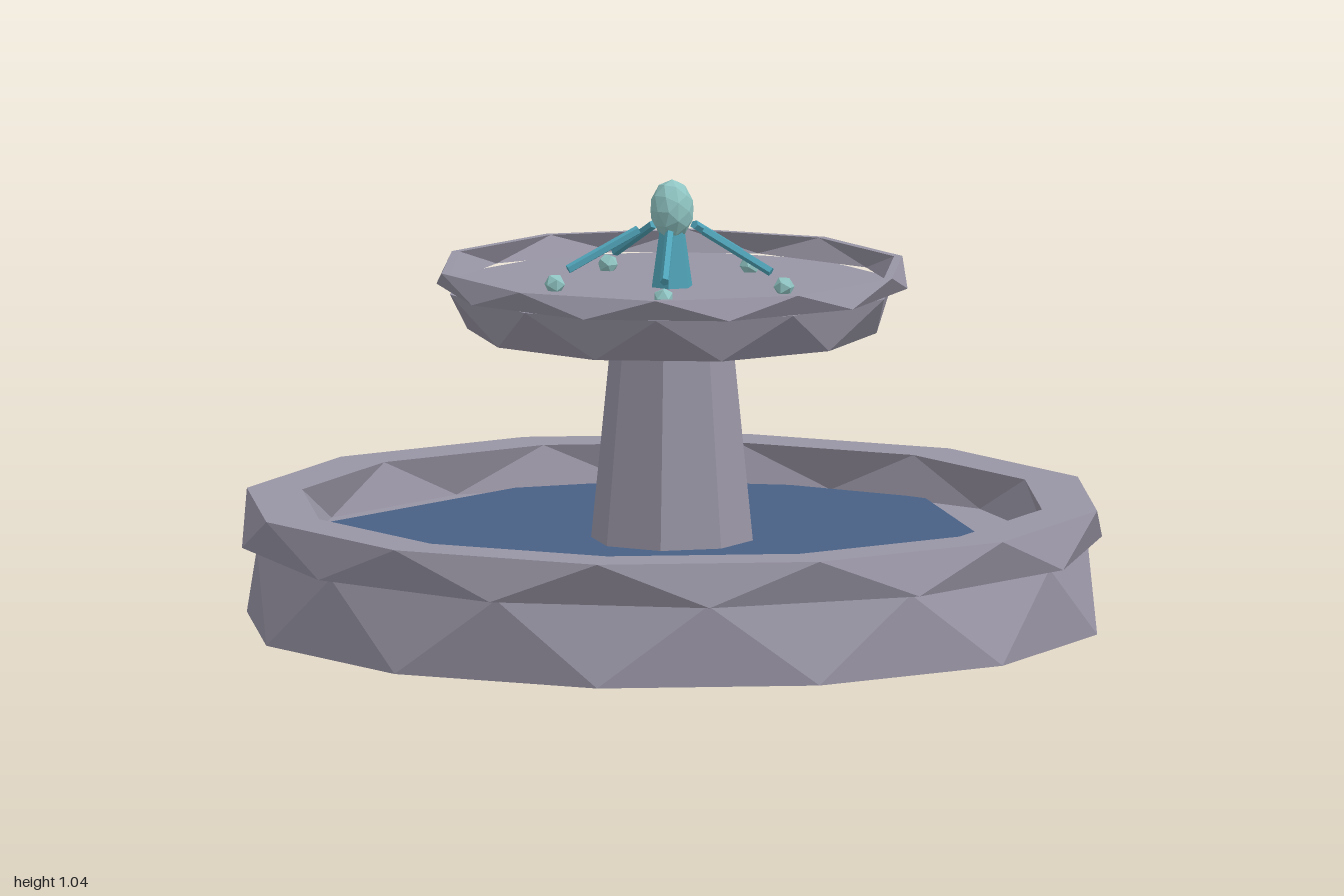
import * as THREE from 'three';

const material = (name, color) => {
  const m = new THREE.MeshStandardMaterial({ color });
  m.name = name;
  return m;
};

// Faceted ring stack. Each ring is [radius, y, half]; half = 1 turns it by half a
// side, so neighbouring rings that differ are joined by zigzag triangles.
function facetedRings(sides, rings) {
  const positions = [];
  const point = ([r, y, half], i) => {
    const a = ((i + half / 2) / sides) * Math.PI * 2;
    return new THREE.Vector3(Math.sin(a) * r, y, Math.cos(a) * r);
  };
  const triangle = (a, b, c) => {
    if (a.distanceTo(b) < 1e-6 || b.distanceTo(c) < 1e-6 || a.distanceTo(c) < 1e-6) return;
    for (const p of [a, b, c]) positions.push(p.x, p.y, p.z);
  };
  for (let k = 0; k + 1 < rings.length; k++) {
    const [low, high] = [rings[k], rings[k + 1]];
    for (let i = 0; i < sides; i++) {
      const p0 = point(low, i), p1 = point(low, i + 1);
      const q0 = point(high, i), q1 = point(high, i + 1);
      if (low[2] < high[2]) {
        triangle(p0, p1, q0);
        triangle(p1, q1, q0);
      } else {
        triangle(p0, p1, q1);
        triangle(p0, q1, q0);
      }
    }
  }
  const geometry = new THREE.BufferGeometry();
  geometry.setAttribute('position', new THREE.Float32BufferAttribute(positions, 3));
  geometry.computeVertexNormals();
  return geometry;
}

// Flat-shaded copy of a built-in geometry
function faceted(geometry) {
  const flat = geometry.index ? geometry.toNonIndexed() : geometry;
  flat.computeVertexNormals();
  return flat;
}

export function createModel() {
  const model = new THREE.Group();
  model.name = 'fountain';
  const stone = material('stone', 0x9894a4);
  const poolBlue = material('poolWater', 0x486084);
  const jetBlue = material('jetWater', 0x4fa3b8);
  const foam = material('foam', 0x8fc4c2);

  const add = (name, geometry, mat, parent = model) => {
    const mesh = new THREE.Mesh(geometry, mat);
    mesh.name = name;
    parent.add(mesh);
    return mesh;
  };

  // Lower basin and its rim
  add('basin', facetedRings(12, [[0, 0, 0], [1, 0, 0], [0.965, 0.19, 1], [0, 0.19, 1]]), stone);
  add('basinRim', facetedRings(12, [
    [0.87, 0.19, 1], [1, 0.19, 1], [1, 0.29, 0], [0.87, 0.29, 0], [0.87, 0.19, 1],
  ]), stone);

  // Pool surface, an irregular polygon (x, -z)
  const pool = new THREE.Shape([
    [-0.83, 0.17], [-0.45, -0.77], [0.12, -0.84], [0.28, -0.8],
    [0.85, -0.05], [0.78, 0.4], [0.42, 0.77], [-0.42, 0.77],
  ].map(([x, y]) => new THREE.Vector2(x, y)));
  const water = add('poolWater', new THREE.ShapeGeometry(pool), poolBlue);
  water.rotation.x = -Math.PI / 2;
  water.position.y = 0.198;

  // Column
  const column = add('column', faceted(new THREE.CylinderGeometry(0.14, 0.19, 0.5, 8)), stone);
  column.position.y = 0.44;
  column.rotation.y = THREE.MathUtils.degToRad(32);

  // Upper bowl and its thin rim
  add('bowl', facetedRings(10, [[0, 0.685, 0], [0.475, 0.685, 0], [0.53, 0.79, 1], [0, 0.79, 1]]), stone);
  add('bowlRim', facetedRings(10, [
    [0.53, 0.79, 0], [0.547, 0.79, 0], [0.55, 0.84, 1], [0.53, 0.84, 1], [0.53, 0.79, 0],
  ]), stone);

  // Central spout with its foam head
  const spout = add('spout', faceted(new THREE.CylinderGeometry(0.028, 0.05, 0.15, 6)), jetBlue);
  spout.position.y = 0.865;
  const head = add('foamHead', faceted(new THREE.IcosahedronGeometry(1, 1)), foam);
  head.scale.set(0.052, 0.07, 0.052);
  head.position.y = 0.97;

  // Five arching jets, each ending in a droplet
  for (let i = 0; i < 5; i++) {
    const jet = new THREE.Group();
    jet.name = 'jet';
    jet.rotation.y = (i / 5) * Math.PI * 2;
    model.add(jet);
    const start = new THREE.Vector3(0.08, 0.925, 0);
    const end = new THREE.Vector3(0.248, 0.838, 0);
    const stream = add('stream', faceted(
      new THREE.CylinderGeometry(0.011, 0.011, start.distanceTo(end), 5)), jetBlue, jet);
    stream.position.lerpVectors(start, end, 0.5);
    stream.quaternion.setFromUnitVectors(
      new THREE.Vector3(0, 1, 0), start.clone().sub(end).normalize());
    const drop = add('droplet', faceted(new THREE.IcosahedronGeometry(0.025, 0)), foam, jet);
    drop.position.set(0.28, 0.805, 0);
  }
  return model;
}
